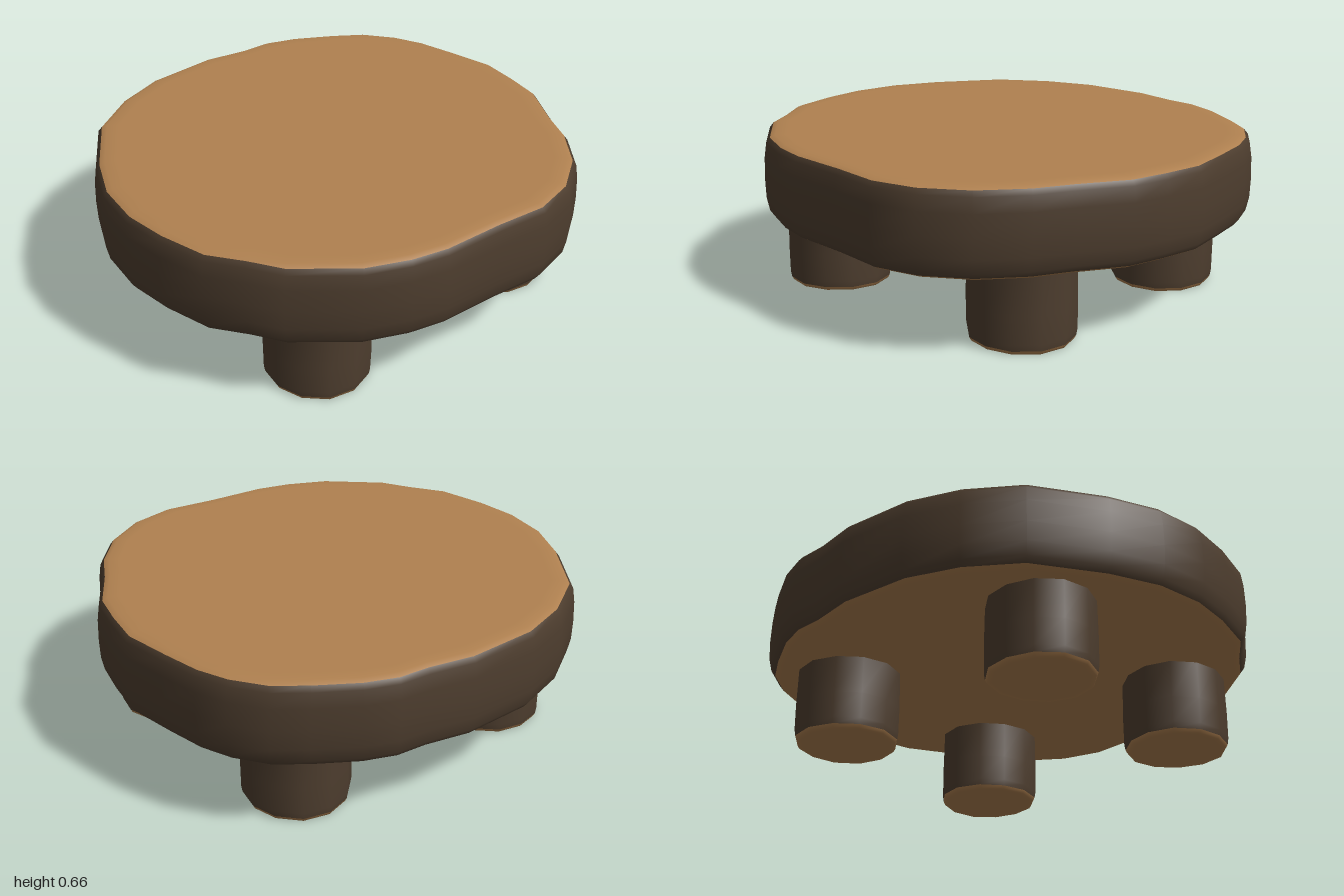
import * as THREE from 'three';

// Skins rings of [scale, y] (listed bottom to top) around an irregular outline of [x, z] points
function loft(outline, rings, material, name) {
  const n = outline.length, pos = [], index = [];
  rings.forEach(([s, y], r) => {
    outline.forEach(([x, z], i) => {
      pos.push(x * s, y, z * s);
      if (r === rings.length - 1) return;
      const a = r * n + i, a1 = r * n + (i + 1) % n;
      index.push(a, a + n, a1, a1, a + n, a1 + n);
    });
  });
  const geometry = new THREE.BufferGeometry();
  geometry.setAttribute('position', new THREE.Float32BufferAttribute(pos, 3));
  geometry.setIndex(index);
  geometry.computeVertexNormals();
  const mesh = new THREE.Mesh(geometry, material);
  mesh.name = name;
  return mesh;
}

export function createModel() {
  const bark = new THREE.MeshStandardMaterial({ color: 0x4d3d2e });
  bark.name = 'dark bark';
  const wood = new THREE.MeshStandardMaterial({ color: 0xb08150 });
  wood.name = 'cut wood';

  const model = new THREE.Group();
  model.name = 'logStool';

  // Uneven edge of the log slice, clockwise from the back
  const edge = [
    [0.07, -0.96], [0.26, -0.92], [0.39, -0.91], [0.52, -0.86], [0.68, -0.76], [0.80, -0.67],
    [0.89, -0.54], [0.94, -0.41], [0.97, -0.24], [1.00, -0.03], [0.97, 0.14], [0.93, 0.30],
    [0.81, 0.49], [0.73, 0.64], [0.59, 0.80], [0.41, 0.91], [0.22, 0.95], [0.00, 0.92],
    [-0.26, 0.90], [-0.41, 0.86], [-0.58, 0.78], [-0.79, 0.59], [-0.86, 0.46], [-0.95, 0.32],
    [-0.99, 0.11], [-1.00, -0.08], [-0.96, -0.29], [-0.86, -0.49], [-0.67, -0.75],
    [-0.46, -0.88], [-0.24, -0.95],
  ];

  // Seat: bark wall with cut wood above and below
  const seat = new THREE.Group();
  seat.name = 'seat';
  seat.add(
    loft(edge, [[0.968, 0.322], [0.985, 0.345], [0.997, 0.40], [1, 0.48], [0.997, 0.57],
      [0.988, 0.63], [0.972, 0.65]], bark, 'seatBark'),
    loft(edge, [[0.972, 0.65], [0.95, 0.66], [0.90, 0.66], [0, 0.66]], wood, 'seatTop'),
    loft(edge, [[0, 0.31], [0.90, 0.31], [0.945, 0.31], [0.968, 0.322]], wood, 'seatUnderside'),
  );
  model.add(seat);

  // Four stubby log legs, each turned so that their uneven sides differ
  const sides = 12;
  [[0.52, 0.45], [-0.505, 0.45], [-0.505, -0.455], [0.52, -0.455]].forEach(([x, z], k) => {
    const outline = Array.from({ length: sides }, (_, i) => {
      const a = (i / sides) * Math.PI * 2;
      const r = 0.217 + 0.004 * Math.sin(3 * a + k * 1.7);
      return [Math.cos(a) * r, Math.sin(a) * r];
    });
    const leg = new THREE.Group();
    leg.name = 'leg' + (k + 1);
    leg.add(
      loft(outline, [[0.975, 0.014], [0.995, 0.04], [1, 0.15], [0.985, 0.33]], bark, 'legBark'),
      loft(outline, [[0, 0], [0.85, 0], [0.94, 0], [0.975, 0.014]], wood, 'legFoot'),
    );
    leg.position.set(x, 0, z);
    model.add(leg);
  });

  return model;
}
